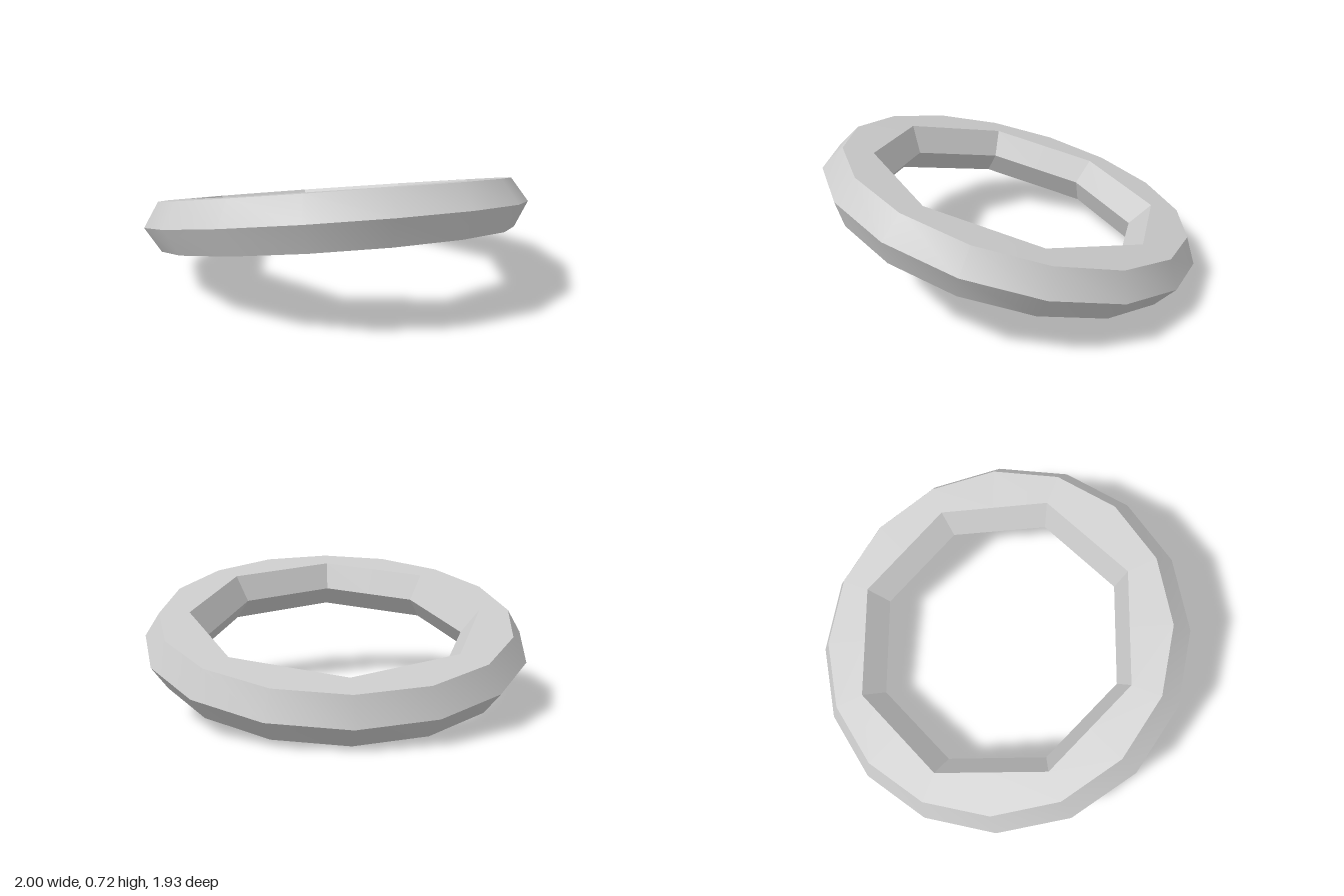
import * as THREE from 'three';
import { toCreasedNormals } from 'three/addons/utils/BufferGeometryUtils.js';

const SIDES = 16;
// Cross-section: radius, height, and whether the point lies on the octagonal hole
const PROFILE = [
  [1, 0, false], [0.922, 0.127, false], [0.766, 0.129, true],
  [0.675, 0, true], [0.766, -0.129, true], [0.922, -0.127, false],
];

function ringGeometry() {
  const n = PROFILE.length;
  const positions = [];
  const index = [];
  for (let i = 0; i < SIDES; i++) {
    const a = (i / SIDES) * Math.PI * 2;
    for (const [radius, h, octagonal] of PROFILE) {
      // every second hole point sits at the middle of an octagon side
      const r = octagonal && i % 2 ? radius * Math.cos(Math.PI / 8) : radius;
      positions.push(r * Math.cos(a), h, r * Math.sin(a));
    }
    const next = (i + 1) % SIDES;
    for (let j = 0; j < n; j++) {
      const k = (j + 1) % n;
      const p = i * n, q = next * n;
      index.push(p + j, p + k, q + k, p + j, q + k, q + j);
    }
  }
  const geometry = new THREE.BufferGeometry();
  geometry.setAttribute('position', new THREE.Float32BufferAttribute(positions, 3));
  geometry.setIndex(index);
  // smooth around the outside, sharp at the rims and the hole's corners
  return toCreasedNormals(geometry, THREE.MathUtils.degToRad(30));
}

export function createModel() {
  const group = new THREE.Group();
  const ring = new THREE.Mesh(ringGeometry(), new THREE.MeshStandardMaterial({ color: 0xcccccc }));
  ring.name = 'ring';
  // leaning, with the front raised
  ring.rotation.set(-THREE.MathUtils.degToRad(15), -0.008, 0);
  ring.position.y = 0.366;
  group.add(ring);
  return group;
}
